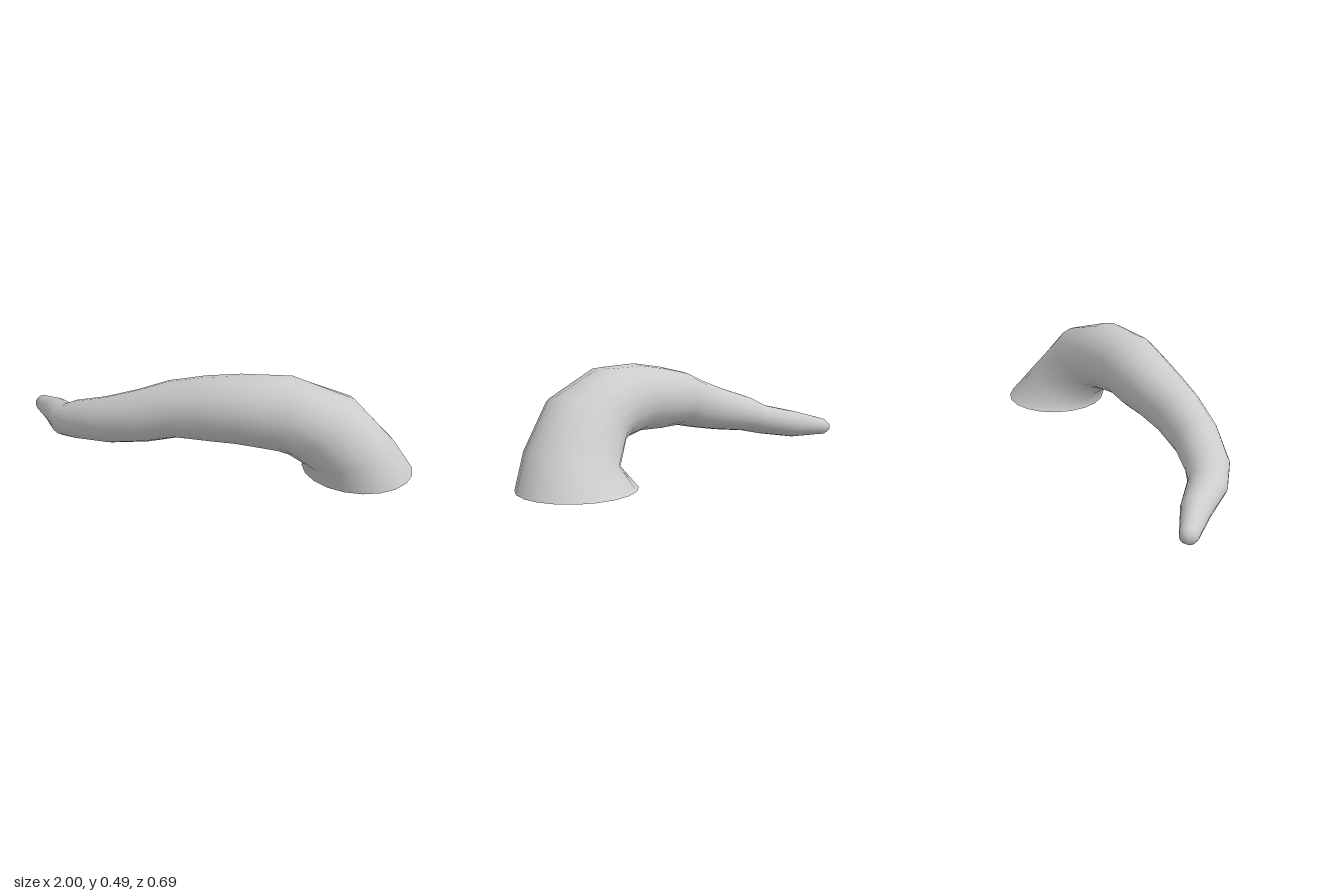
import * as THREE from 'three';

const SIDES = 20;

// Cross-sections from base to tip: centre x, y, z, upright radius, sideways radius
const rings = [
  [0.735, 0, -0.083, 0.263, 0.263],
  [0.705, 0.115, -0.01, 0.212, 0.21],
  [0.575, 0.257, 0.06, 0.2, 0.19],
  [0.42, 0.312, 0.108, 0.177, 0.175],
  [0.22, 0.321, 0.157, 0.163, 0.163],
  [0.06, 0.303, 0.167, 0.153, 0.153],
  [-0.1, 0.283, 0.188, 0.136, 0.136],
  [-0.24, 0.24, 0.22, 0.127, 0.12],
  [-0.42, 0.191, 0.227, 0.113, 0.108],
  [-0.61, 0.146, 0.193, 0.094, 0.1],
  [-0.7, 0.11, 0.15, 0.08, 0.088],
  [-0.83, 0.083, 0.032, 0.071, 0.067],
  [-0.975, 0.065, -0.066, 0.042, 0.042],
  [-0.999, 0.063, -0.072, 0.025, 0.026],
];

// Section directions that differ from the run of the centre line
const facing = {
  0: [0, 1, 0],
  1: [-0.26, 0.97, 0.05],
  2: [-0.63, 0.77, 0.2],
  12: [-0.93, -0.05, -0.35],
  13: [-0.98, 0, -0.2],
};

function hornGeometry() {
  const centres = rings.map(([x, y, z]) => new THREE.Vector3(x, y, z));
  const last = rings.length - 1;
  const pos = [], index = [];
  rings.forEach(([, , , ru, rs], i) => {
    const t = facing[i]
      ? new THREE.Vector3(...facing[i])
      : centres[i + 1].clone().sub(centres[i - 1]);
    t.normalize();
    const side = new THREE.Vector3(0, 0, 1).addScaledVector(t, -t.z).normalize();
    const up = t.clone().cross(side);
    for (let j = 0; j < SIDES; j++) {
      const a = (j / SIDES) * Math.PI * 2;
      const p = centres[i].clone()
        .addScaledVector(up, ru * Math.cos(a))
        .addScaledVector(side, rs * Math.sin(a));
      pos.push(p.x, p.y, p.z);
      if (i === last) continue;
      const k = (j + 1) % SIDES;
      const a0 = i * SIDES + j, b0 = i * SIDES + k;
      index.push(a0, a0 + SIDES, b0, b0, a0 + SIDES, b0 + SIDES);
    }
  });
  // close the tip
  const tip = pos.length / 3;
  pos.push(-1, 0.063, -0.073);
  for (let j = 0; j < SIDES; j++) {
    index.push(last * SIDES + j, tip, last * SIDES + ((j + 1) % SIDES));
  }
  const g = new THREE.BufferGeometry();
  g.setAttribute('position', new THREE.Float32BufferAttribute(pos, 3));
  g.setIndex(index);
  g.computeVertexNormals();
  return g;
}

export function createModel() {
  const group = new THREE.Group();
  group.name = 'curvedHorn';
  // One tapering shell, open at the base
  const horn = new THREE.Mesh(
    hornGeometry(),
    new THREE.MeshStandardMaterial({ color: 0xcccccc, side: THREE.DoubleSide })
  );
  horn.name = 'hornShell';
  group.add(horn);
  return group;
}
